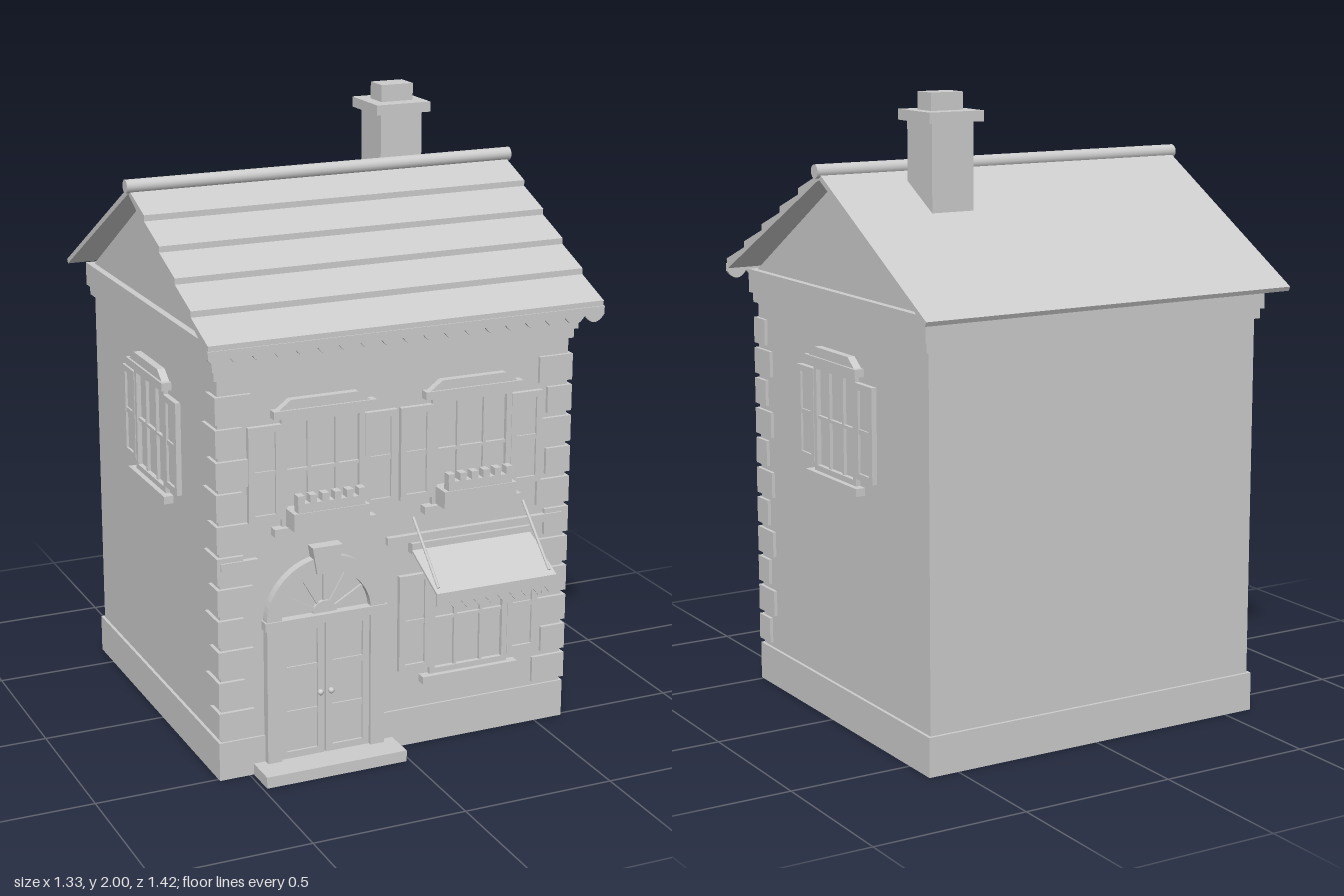
import * as THREE from 'three';

const stone = new THREE.MeshStandardMaterial({ color: 0xcccccc });
stone.name = 'plain grey';

function add(parent, name, geo, x = 0, y = 0, z = 0) {
  const m = new THREE.Mesh(geo, stone);
  m.name = name;
  m.position.set(x, y, z);
  parent.add(m);
  return m;
}
// Box given by its limits
function box(parent, name, x0, x1, y0, y1, z0, z1) {
  return add(parent, name, new THREE.BoxGeometry(x1 - x0, y1 - y0, z1 - z0),
    (x0 + x1) / 2, (y0 + y1) / 2, (z0 + z1) / 2);
}
function shapeOf(pts) {
  return new THREE.Shape(pts.map(p => new THREE.Vector2(p[0], p[1])));
}
// Outline in x,y pushed out along z
function plate(parent, name, shape, depth, x, y, z) {
  return add(parent, name,
    new THREE.ExtrudeGeometry(shape, { depth, bevelEnabled: false, curveSegments: 16 }), x, y, z);
}
// Outline in z,y pushed along x, centred on x = 0
function profile(parent, name, pts, width) {
  const g = new THREE.ExtrudeGeometry(shapeOf(pts.map(([z, y]) => [-z, y])), { depth: width, bevelEnabled: false });
  g.translate(0, 0, -width / 2);
  g.rotateY(Math.PI / 2);
  return add(parent, name, g);
}
function rod(parent, name, a, b, r) {
  const p = new THREE.Vector3(...a), q = new THREE.Vector3(...b);
  const m = add(parent, name, new THREE.CylinderGeometry(r, r, p.distanceTo(q), 8));
  m.position.copy(p).add(q).multiplyScalar(0.5);
  m.quaternion.setFromUnitVectors(new THREE.Vector3(0, 1, 0), q.sub(p).normalize());
}
// Raised border with cross bars
function framed(parent, name, x0, x1, y0, y1, z, depth, bar, cols, rows, thin) {
  const s = shapeOf([[x0, y0], [x1, y0], [x1, y1], [x0, y1]]);
  s.holes.push(shapeOf([[x0 + bar, y0 + bar], [x0 + bar, y1 - bar], [x1 - bar, y1 - bar], [x1 - bar, y0 + bar]]));
  plate(parent, name, s, depth, 0, 0, z);
  for (let i = 1; i < cols; i++) {
    const x = x0 + (x1 - x0) * i / cols;
    box(parent, name + 'Mullion', x - thin, x + thin, y0 + bar, y1 - bar, z, z + depth * 0.7);
  }
  for (let i = 1; i < rows; i++) {
    const y = y0 + (y1 - y0) * i / rows;
    box(parent, name + 'Crossbar', x0 + bar, x1 - bar, y - thin, y + thin, z, z + depth * 0.7);
  }
}
// Window centred on x = 0 against the plane z = 0
function makeWindow(y0, y1, lintel) {
  const g = new THREE.Group();
  g.name = 'window';
  framed(g, 'windowFrame', -0.137, 0.137, y0, y1, 0, 0.015, 0.018, 3, 2, 0.005);
  box(g, 'sill', -0.168, 0.168, y0 - 0.025, y0, 0, 0.032);
  for (const s of [-1, 1]) {
    const a = s < 0 ? -0.245 : 0.137, top = y1 - 0.02;
    box(g, 'shutter', a, a + 0.108, y0 + 0.025, top, 0, 0.009);
    framed(g, 'shutterFrame', a, a + 0.108, y0 + 0.025, top, 0.009, 0.008, 0.02, 1, 2, 0.008);
  }
  if (lintel) {
    box(g, 'lintel', -0.168, 0.168, y1, y1 + 0.025, 0, 0.032);
    plate(g, 'lintelCap', shapeOf([[-0.15, 0], [0.15, 0], [0.11, 0.03], [-0.11, 0.03]]), 0.025, 0, y1 + 0.025, 0);
  }
  return g;
}

export function createModel() {
  const house = new THREE.Group();
  house.name = 'house';
  const F = 0.505; // front wall plane

  // Walls, plinth, cornice and gable
  box(house, 'walls', -0.59, 0.59, 0.1, 1.3, -0.61, F);
  box(house, 'plinth', -0.6, 0.6, 0, 0.125, -0.62, 0.512);
  box(house, 'lowerCornice', -0.603, 0.603, 1.285, 1.317, -0.622, 0.515);
  box(house, 'upperCornice', -0.612, 0.612, 1.317, 1.393, -0.632, 0.527);
  profile(house, 'gable', [[0.51, 1.39], [-0.055, 1.728], [-0.61, 1.39]], 1.18);

  // Corner stones, long and short in turn
  for (const s of [-1, 1]) for (let i = 0; i < 11; i++) {
    const y = 0.14 + i * 0.101, long = i % 2 === 0;
    const xi = s * (long ? 0.485 : 0.515), xo = s * 0.601;
    box(house, 'cornerStone', Math.min(xi, xo), Math.max(xi, xo), y, y + 0.085, long ? 0.44 : 0.405, 0.517);
  }

  // Front roof in overlapping courses
  const line = z => 1.735 - 0.53 * (z + 0.055);
  const ends = [-0.055, 0.08, 0.21, 0.34, 0.47, 0.605];
  const roof = [[0.605, line(0.605)], [-0.055, line(-0.055)]];
  for (let i = 0; i < 5; i++) {
    roof.push([ends[i], line(ends[i]) + 0.017], [ends[i + 1], line(ends[i + 1]) + 0.036]);
  }
  profile(house, 'frontRoof', roof, 1.306);
  profile(house, 'backRoof', [[-0.055, 1.742], [-0.7, 1.378], [-0.707, 1.392], [-0.055, 1.762]], 1.306);
  const ridge = add(house, 'ridge', new THREE.CylinderGeometry(0.022, 0.022, 1.33, 16), 0, 1.763, -0.055);
  ridge.rotation.z = Math.PI / 2;

  // Scalloped eaves board
  const n = 19, w = 1.31 / n, fringe = new THREE.Shape();
  fringe.moveTo(0.655, 1.405);
  fringe.lineTo(-0.655, 1.405);
  fringe.lineTo(-0.655, 1.38);
  for (let i = 0; i < n; i++) {
    const x = -0.655 + i * w;
    fringe.quadraticCurveTo(x + w / 2, 1.332, x + w, 1.38);
  }
  plate(house, 'eavesBoard', fringe, 0.012, 0, 0, 0.597);

  // Chimney
  box(house, 'chimneyStack', 0.232, 0.378, 1.6, 1.912, -0.27, -0.12);
  box(house, 'chimneyCap', 0.21, 0.4, 1.912, 1.945, -0.295, -0.102);
  box(house, 'chimneyPot', 0.25, 0.362, 1.945, 2, -0.238, -0.155);

  // Upper front windows with flower boxes
  for (const x of [-0.253, 0.25]) {
    const g = makeWindow(0.805, 1.15, true);
    g.position.set(x, 0, F);
    box(g, 'flowerBox', -0.125, 0.125, 0.807, 0.863, 0, 0.08);
    box(g, 'flowerBed', -0.11, 0.11, 0.863, 0.892, 0.045, 0.077);
    for (let i = 0; i < 6; i++) {
      const c = -0.1 + i * 0.04;
      box(g, 'flower', c - 0.011, c + 0.011, 0.892, 0.917, 0.047, 0.077);
    }
    house.add(g);
  }
  // Side windows
  for (const s of [-1, 1]) {
    const g = makeWindow(0.805, 1.15, true);
    g.position.set(s * 0.59, 0, -0.05);
    g.rotation.y = s * Math.PI / 2;
    house.add(g);
  }
  // Shop window
  const shop = makeWindow(0.235, 0.6, false);
  shop.position.set(0.25, 0, F);
  house.add(shop);

  // String course
  box(house, 'stringCourse', -0.59, -0.47, 0.69, 0.715, F, 0.523);
  box(house, 'stringCourse', -0.037, 0.575, 0.69, 0.715, F, 0.523);

  // Awning with toothed valance and stays
  box(house, 'awningRail', 0.04, 0.455, 0.655, 0.69, F, 0.535);
  const cloth = profile(house, 'awningCloth', [[0.52, 0.676], [0.52, 0.668], [0.706, 0.58], [0.71, 0.587]], 0.415);
  cloth.position.x = 0.2475;
  const teeth = [[0.455, 0.587], [0.04, 0.587], [0.04, 0.545]];
  for (let i = 0; i < 10; i++) {
    const x = 0.04 + i * 0.0415;
    teeth.push([x + 0.0207, 0.528], [x + 0.0415, 0.553]);
  }
  plate(house, 'awningValance', shapeOf(teeth), 0.006, 0, 0, 0.704);
  for (const x of [0.055, 0.44]) rod(house, 'awningStay', [x, 0.768, 0.51], [x, 0.597, 0.69], 0.005);

  // Doorway
  const door = new THREE.Group();
  door.name = 'doorway';
  door.position.x = -0.25;
  house.add(door);
  box(door, 'step', -0.237, 0.237, 0, 0.037, 0.45, 0.62);
  for (const s of [-1, 1]) {
    const at = (a, b) => s > 0 ? [a, b] : [-b, -a];
    box(door, 'pilaster', ...at(0.15, 0.198), 0.037, 0.48, 0.49, 0.535);
    const a = at(0.003, 0.15);
    box(door, 'doorLeaf', ...a, 0.037, 0.48, 0.49, 0.515);
    framed(door, 'doorFrame', ...a, 0.037, 0.48, 0.515, 0.008, 0.022, 1, 3, 0.01);
    add(door, 'doorKnob', new THREE.SphereGeometry(0.01, 12, 8), s * 0.018, 0.245, 0.529);
  }
  box(door, 'impost', -0.205, 0.205, 0.48, 0.507, 0.49, 0.54);

  // Arch and fanlight
  const arch = new THREE.Shape();
  arch.absarc(0, 0, 0.2, 0, Math.PI, false);
  arch.absarc(0, 0, 0.15, Math.PI, 0, true);
  plate(door, 'arch', arch, 0.035, 0, 0.495, 0.5);
  const half = r => new THREE.Shape().absarc(0, 0, r, 0, Math.PI, false);
  plate(door, 'fanlightGlass', half(0.15), 0.01, 0, 0.495, 0.5);
  plate(door, 'fanlightHub', half(0.04), 0.022, 0, 0.505, 0.5);
  for (let i = 1; i < 6; i++) {
    const t = i * Math.PI / 6;
    const spoke = add(door, 'fanlightSpoke', new THREE.BoxGeometry(0.12, 0.008, 0.01),
      0.095 * Math.cos(t), 0.5 + 0.095 * Math.sin(t), 0.513);
    spoke.rotation.z = t;
  }
  plate(door, 'keystone', shapeOf([[-0.035, 0.643], [0.035, 0.643], [0.05, 0.73], [-0.05, 0.73]]), 0.045, 0, 0, 0.5);

  return house;
}
